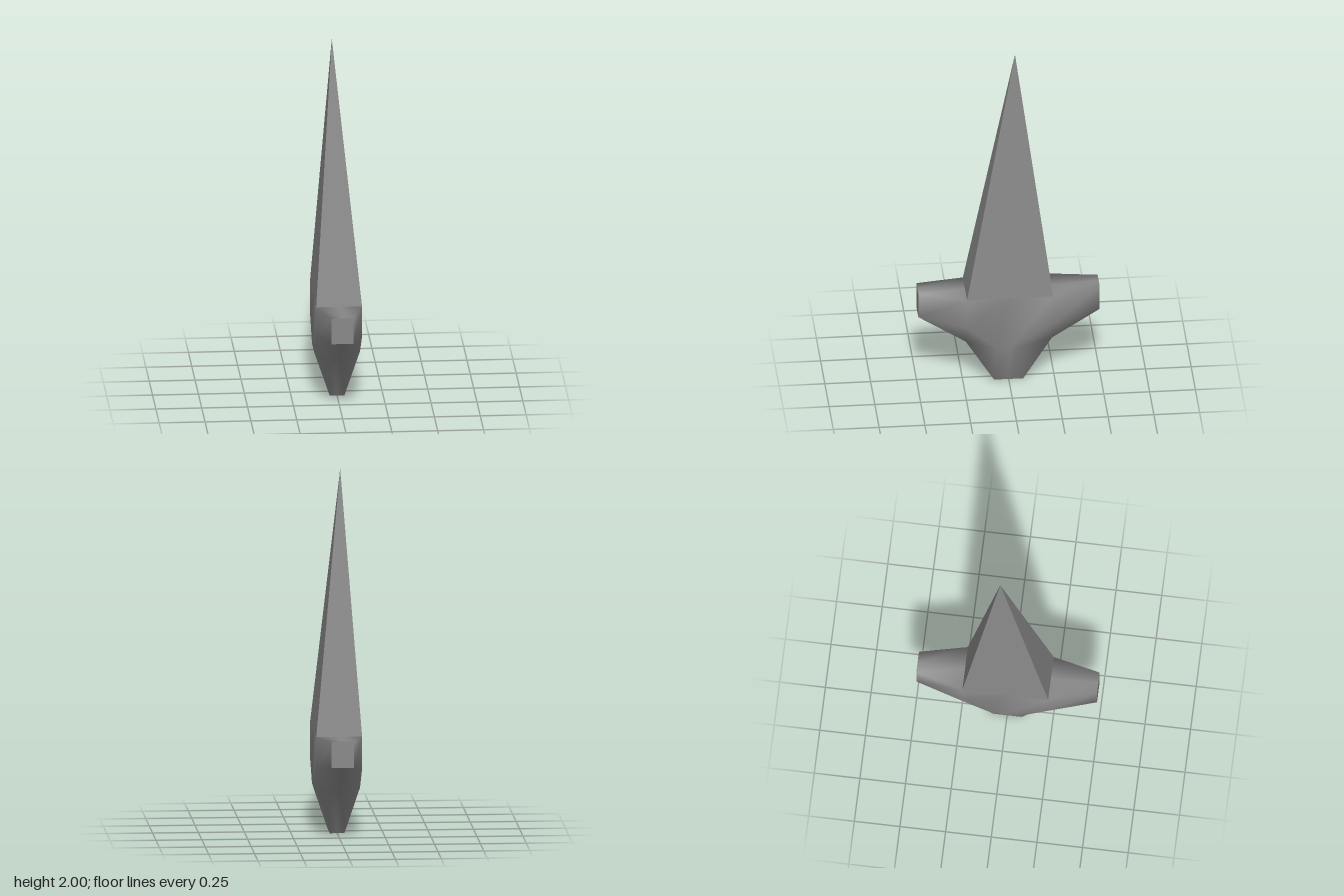
import * as THREE from 'three';
import { mergeVertices } from 'three/addons/utils/BufferGeometryUtils.js';

const material = new THREE.MeshStandardMaterial({ color: 0x888888 });

// Mesh from convex polygons, smooth across shared corners or flat
function facesMesh(name, faces, smooth) {
  const points = [];
  for (const face of faces) {
    for (let i = 2; i < face.length; i++) points.push(...face[0], ...face[i - 1], ...face[i]);
  }
  let geometry = new THREE.BufferGeometry();
  geometry.setAttribute('position', new THREE.Float32BufferAttribute(points, 3));
  if (smooth) geometry = mergeVertices(geometry);
  geometry.computeVertexNormals();
  const mesh = new THREE.Mesh(geometry, material);
  mesh.name = name;
  return mesh;
}

// Mirror polygons across one axis, keeping them facing outward
const mirror = (faces, axis) => faces.concat(
  faces.map(face => face.map(p => p.map((v, i) => (i === axis ? -v : v))).reverse()));
const mirrorQuarter = faces => mirror(mirror(faces, 0), 2);

// The same point moved onto the middle plane of an axis
const middle = (p, axis) => p.map((v, i) => (i === axis ? 0 : v));

export function createModel() {
  const group = new THREE.Group();

  // Corners of the front left quarter
  const shoulder = [0.125, 0.555, 0.235];
  const armpit = [0.125, 0.38, 0.235];
  const hip = [0.125, 0.25, 0.08];
  const crotch = [0.045, 0.25, 0.235];
  const armTop = [0.06, 0.57, 0.495];
  const armLow = [0.06, 0.425, 0.495];
  const foot = [0.04, 0, 0.08];

  const body = [
    // Arm: top, side, lower bevel, underside
    [middle(shoulder, 0), middle(armTop, 0), armTop, shoulder],
    [shoulder, armTop, armLow, armpit],
    [armpit, armLow, crotch],
    [middle(armLow, 0), middle(crotch, 0), crotch, armLow],
    // Core side and the bevel below it
    [middle(shoulder, 2), shoulder, armpit, hip, middle(hip, 2)],
    [armpit, crotch, hip],
    // Foot: side, bevel, front
    [middle(hip, 2), hip, foot, middle(foot, 2)],
    [hip, crotch, foot],
    [middle(crotch, 0), middle(foot, 0), foot, crotch],
  ];
  group.add(facesMesh('body', mirrorQuarter(body), true));

  // Flat ends of the arms and the foot
  const armEnd = [middle(armTop, 0), middle(armLow, 0), armLow, armTop];
  const footEnd = [[0, 0, 0], middle(foot, 2), foot, middle(foot, 0)];
  group.add(facesMesh('armEnds', mirrorQuarter([armEnd]), false));
  group.add(facesMesh('footEnd', mirrorQuarter([footEnd]), false));

  // Tall four-sided spike with a slightly off-centre tip
  const [x, y, z] = shoulder;
  const tip = [-0.02, 2, -0.04];
  const base = [[-x, y, z], [x, y, z], [x, y, -z], [-x, y, -z]];
  group.add(facesMesh('spike', base.map((p, i) => [p, base[(i + 1) % 4], tip]), false));

  return group;
}
